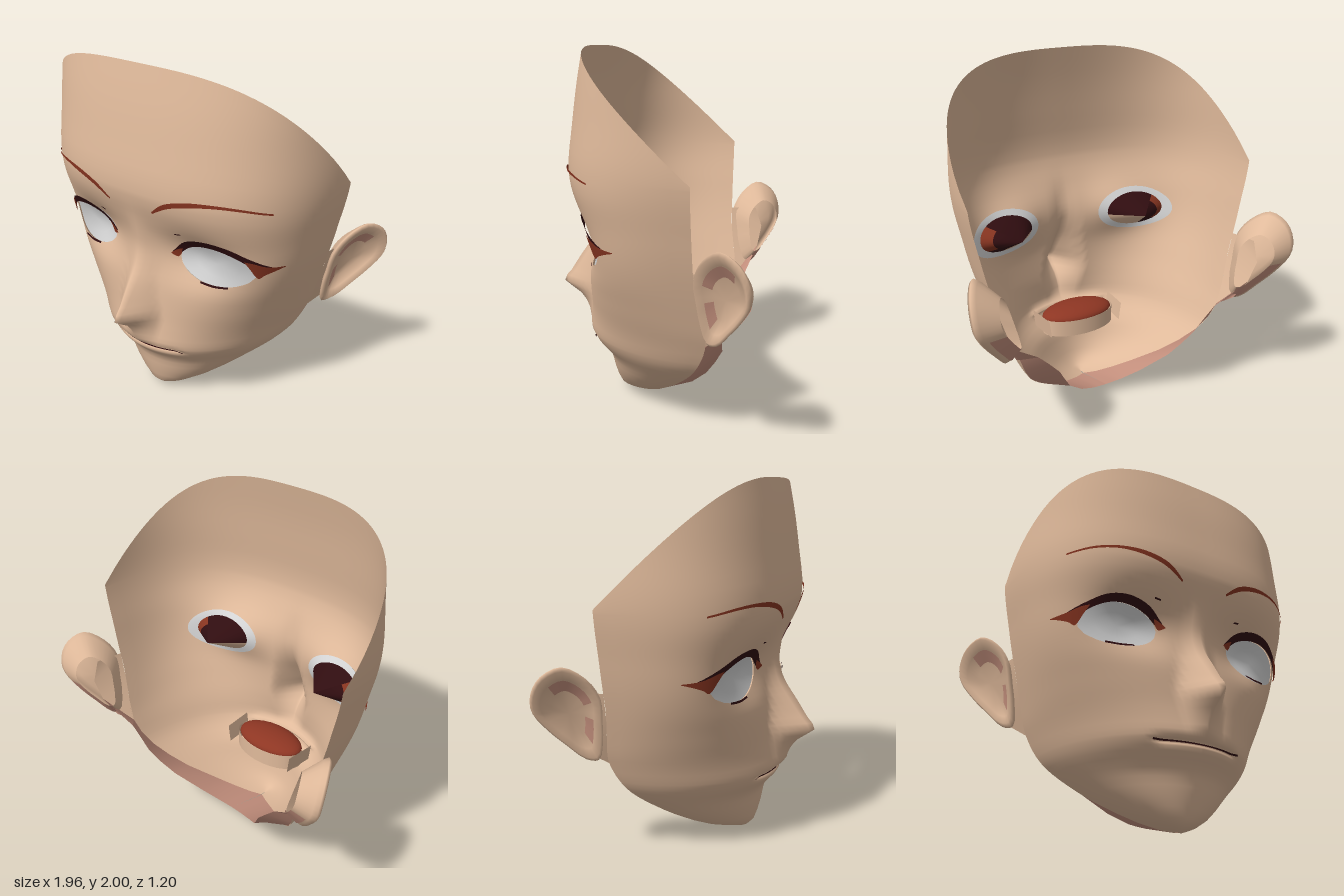
import * as THREE from 'three';
import { mergeVertices } from 'three/addons/utils/BufferGeometryUtils.js';

const mat = (name, color, side = THREE.DoubleSide) => {
  const m = new THREE.MeshStandardMaterial({ color, side });
  m.name = name;
  return m;
};
const V = (x, y, z) => new THREE.Vector3(x, y, z);

// Smooth interpolation through [key, value] pairs
function table(p) {
  const slope = i => {
    const a = p[Math.max(i - 1, 0)], b = p[Math.min(i + 1, p.length - 1)];
    return (b[1] - a[1]) / (b[0] - a[0]);
  };
  return k => {
    if (k <= p[0][0]) return p[0][1];
    if (k >= p[p.length - 1][0]) return p[p.length - 1][1];
    let i = 0;
    while (k > p[i + 1][0]) i++;
    const h = p[i + 1][0] - p[i][0], t = (k - p[i][0]) / h, s = t * t * (3 - 2 * t);
    return p[i][1] * (1 - s) + p[i + 1][1] * s
      + h * (t * (1 - t) * (1 - t) * slope(i) - t * t * (1 - t) * slope(i + 1));
  };
}

// Head measurements by height: half width, centre depth, rear edge depth, squareness, nose
const halfWidth = table([[0, 0.002], [0.015, 0.07], [0.05, 0.16], [0.1, 0.25], [0.2, 0.385], [0.36, 0.555],
  [0.54, 0.645], [0.7, 0.7], [0.93, 0.768], [1.1, 0.808], [1.38, 0.86], [1.7, 0.86], [2, 0.855]]);
const centreZ = table([[0, 0.165], [0.015, 0.215], [0.04, 0.245], [0.15, 0.28], [0.28, 0.31], [0.345, 0.37],
  [0.42, 0.41], [0.5, 0.4], [0.6, 0.385], [0.8, 0.37], [0.9, 0.362], [1, 0.365], [1.1, 0.38], [1.2, 0.41],
  [1.3, 0.442], [1.4, 0.455], [1.6, 0.43], [1.8, 0.4], [2, 0.36]]);
const rearZ = table([[0, 0.13], [0.015, 0.09], [0.05, 0.035], [0.1, -0.03], [0.2, -0.15], [0.36, -0.28], [0.54, -0.35],
  [0.7, -0.33], [0.9, -0.305], [2, -0.305]]);
const square = table([[0, 2], [0.4, 2], [0.7, 2.5], [0.95, 3], [1.2, 2.9], [1.4, 2.7], [2, 2.7]]);
const noseOut = table([[0.41, 0], [0.45, 0.03], [0.5, 0.055], [0.57, 0.12], [0.63, 0.215], [0.7, 0.177],
  [0.8, 0.12], [0.9, 0.063], [1, 0.028], [1.1, 0.018], [1.2, 0.005], [1.3, 0]]);
const noseWidth = table([[0.4, 0.1], [0.62, 0.135], [0.8, 0.11], [1, 0.09], [1.3, 0.09]]);
const gauss = v => Math.exp(-v * v);

function skinZ(x, y) {
  const ax = Math.abs(x), n = square(y), s = Math.min(ax / halfWidth(y), 1), c = centreZ(y);
  const t = 1 - Math.pow(1 - Math.pow(s, n), 1 / n);
  let z = c - t * (c - rearZ(y));
  z += noseOut(y) * Math.max(0, 1 - ax / noseWidth(y));
  z -= 0.075 * gauss((ax - 0.35) / 0.2) * gauss((y - 1.01) / 0.14);
  z -= 0.03 * gauss((y - 0.395) / 0.014) * (1 - THREE.MathUtils.smoothstep(ax, 0.2, 0.28));
  return z;
}

// Surface through rows of points; cells with every corner in skip are left open
function grid(rows, skip) {
  const w = rows[0].length, index = [];
  const tri = (...c) => { if (!skip || !c.every(i => skip.has(i))) index.push(...c); };
  for (let i = 0; i < rows.length - 1; i++) for (let j = 0; j < w - 1; j++) {
    const a = i * w + j, b = a + 1, c = a + w, d = c + 1;
    tri(a, b, c);
    tri(b, d, c);
  }
  let g = new THREE.BufferGeometry().setFromPoints(rows.flat());
  g.setIndex(index);
  g = mergeVertices(g, 1e-5);
  g.computeVertexNormals();
  return g;
}

const EYE = { x: 0.435, y: 0.995, rx: 0.205, ry: 0.118 };

function faceGeometry() {
  const ys = [0, 0.015, 0.05, 0.1, 0.16, 0.2, 0.24, 0.28, 0.32, 0.35, 0.37, 0.383, 0.395, 0.407, 0.42, 0.45, 0.48,
    0.52, 0.56, 0.595, 0.63, 0.665];
  for (let y = 0.7; y < 1.37; y += 0.033) ys.push(y);
  const low = ys[ys.length - 1], upper = 9, M = 36, rows = [], open = new Set();
  for (let r = 0; r < ys.length + upper; r++) {
    const row = [];
    for (let j = -M; j <= M; j++) {
      const a = Math.PI / 2 * Math.pow(Math.abs(j) / M, 1.35);
      // The upper rows fan out to the slanted top edge
      const top = 2 - 0.62 * Math.pow(1 - Math.pow(Math.max(Math.cos(a), 0), 2 / 2.7), 1.12);
      let y = r < ys.length ? ys[r] : low + (top - low) * (r - ys.length + 1) / upper;
      let x = j === 0 ? 0 : halfWidth(y) * Math.pow(Math.sin(a), 2 / square(y));
      // Slide points inside the eye opening onto its outline
      const dx = (x - EYE.x) / EYE.rx, dy = (y - EYE.y) / EYE.ry, d = Math.hypot(dx, dy);
      if (d < 1) {
        open.add(r * (2 * M + 1) + j + M);
        x = EYE.x + dx / d * EYE.rx;
        y = EYE.y + dy / d * EYE.ry;
      }
      row.push(V(Math.sign(j) * x, y, skinZ(x, y)));
    }
    rows.push(row);
  }
  return grid(rows, open);
}

// Thin painted strip lying on the face between two curves of [x, y] points
function ribbon(lower, upper, lift, n = 24) {
  const line = p => new THREE.SplineCurve(p.map(q => new THREE.Vector2(...q))).getPoints(n);
  const a = line(lower), b = line(upper);
  return grid([0, 0.5, 1].map(t => a.map((p, i) => {
    const q = p.clone().lerp(b[i], t);
    return V(q.x, q.y, skinZ(q.x, q.y) + lift);
  })));
}

// Ring of points around the eye, between two angles in degrees
const eyeRing = (k, lift, from = 0, to = 360, n = 40) => Array.from({ length: n + 1 }, (_, i) => {
  const a = THREE.MathUtils.degToRad(from + (to - from) * i / n);
  const x = EYE.x + k * EYE.rx * Math.cos(a), y = EYE.y + k * EYE.ry * Math.sin(a);
  return V(x, y, skinZ(x, y) + lift);
});

// Ear outline, scaled about its middle and moved outward by off
const earOutline = new THREE.CatmullRomCurve3([[-0.31, 0.93], [-0.36, 1.04], [-0.45, 1.105], [-0.54, 1.06],
  [-0.59, 0.97], [-0.595, 0.87], [-0.55, 0.77], [-0.49, 0.68], [-0.42, 0.59], [-0.37, 0.58], [-0.335, 0.69],
  [-0.32, 0.8]].reverse().map(([z, y]) => V(0, y, z)), true).getPoints(36);
const earLoop = (k, off) => earOutline.map(p => {
  const z = -0.45 + (p.z + 0.45) * k, y = 0.85 + (p.y - 0.85) * k;
  const x = 0.8 + (-0.33 - z) * 0.63 + (y - 0.9) * (y > 0.9 ? 0.2 : 0.33);
  return V(x + off * 0.85, y, z + off * 0.53);
});

export function createModel() {
  const skin = mat('skin', 0xe0ba9b), blush = mat('blush', 0xca9481), lash = mat('darkLash', 0x300d10);
  const brown = mat('redBrown', 0x863420), mouthRed = mat('mouthRed', 0x8e3623);
  const white = mat('eyeWhite', 0xd6d6d6, THREE.FrontSide);
  const model = new THREE.Group();
  model.name = 'faceMask';
  const add = (parent, name, geo, m) => {
    const mesh = new THREE.Mesh(geo, m);
    mesh.name = name;
    parent.add(mesh);
    return mesh;
  };

  add(model, 'face', faceGeometry(), skin);

  // Mouth line and the cavity behind it
  add(model, 'mouthLine', ribbon([[-0.26, 0.391], [0, 0.389], [0.26, 0.391]],
    [[-0.26, 0.4], [0, 0.397], [0.26, 0.4]], 0.012), lash);
  const roof = add(model, 'mouthRoof', new THREE.SphereGeometry(1, 28, 8, 0, Math.PI * 2, 0, Math.PI / 2), mouthRed);
  roof.scale.set(0.23, 0.06, 0.13);
  roof.position.set(0, 0.41, 0.21);
  const wall = add(model, 'mouthWall', new THREE.CylinderGeometry(1, 1, 0.1, 28, 1, true), skin);
  wall.scale.set(0.235, 1, 0.13);
  wall.position.set(0, 0.37, 0.2);

  // Everything paired is built on the left and mirrored
  for (const side of [1, -1]) {
    const half = new THREE.Group();
    half.name = side > 0 ? 'leftFeatures' : 'rightFeatures';
    half.scale.x = side;
    model.add(half);

    // Cheek wall beside the mouth cavity
    add(half, 'mouthSide', grid([[V(0.25, 0.34, 0.28), V(0.235, 0.34, 0.09)],
      [V(0.265, 0.45, 0.28), V(0.25, 0.45, 0.09)]]), skin);

    // Underside of the jaw, from the jaw line in to the open edge
    const jaw = [0, 0.015, 0.05, 0.1, 0.2, 0.28, 0.36, 0.45, 0.54].map(y => V(halfWidth(y), y, rearZ(y)));
    const rim = [[0, 0.075, -0.15], [0.05, 0.08, -0.155], [0.1, 0.09, -0.165], [0.2, 0.14, -0.21], [0.33, 0.26, -0.31],
      [0.39, 0.35, -0.365], [0.445, 0.44, -0.41], [0.51, 0.51, -0.415], [0.57, 0.57, -0.42]].map(p => V(...p));
    add(half, 'jawUnderside', grid([rim, jaw]), blush);

    // Ear with a rolled rim, hollow and a root joining it to the head
    add(half, 'ear', grid([earLoop(0.6, -0.11), earLoop(0.94, -0.025), earLoop(1, 0), earLoop(0.92, 0.015),
      earLoop(0.74, -0.012), earLoop(0.45, -0.045), earLoop(0, -0.035)]), skin);
    for (const [a, b] of [[0, 6], [24, 34]]) {
      add(half, 'earHollowBlush', grid([earLoop(0.72, -0.009), earLoop(0.48, -0.036)].map(l => l.slice(a, b))), blush);
    }
    add(half, 'earBackBlush', grid([earLoop(0.6, -0.115), earLoop(0.92, -0.037)].map(l => l.slice(7, 18))), blush);
    const edge = [0.54, 0.66, 0.8, 0.95].map(y => V(halfWidth(y), y, rearZ(y)));
    const back = [[0.7, 0.6, -0.43], [0.76, 0.71, -0.48], [0.8, 0.83, -0.5], [0.8, 0.95, -0.46]].map(p => V(...p));
    add(half, 'earRoot', grid([edge, back]), skin);
    add(half, 'earLobeBack', grid([[V(0.57, 0.57, -0.42), edge[0]], [V(0.76, 0.71, -0.48), back[0]]]), blush);

    // Eye: white front, rim seen from behind, and the pointed cup inside
    const tip = n => Array.from({ length: n + 1 }, () => V(0.41, 1, 0.08));
    add(half, 'eyeWhite', grid([eyeRing(1.03, -0.01), eyeRing(0.6, -0.008), eyeRing(0, -0.006)]), white);
    add(half, 'eyeRim', grid([eyeRing(0.84, -0.022), eyeRing(1.12, -0.022)]), white);
    for (const [name, from, to, m] of [['eyeCupDark', 45, 190, lash], ['eyeCupPale', 190, 280, skin],
      ['eyeCupLower', 280, 315, lash]]) {
      add(half, name, grid([tip(16), eyeRing(0.86, -0.025, from, to, 16)]), m);
    }
    const outer = eyeRing(0.86, -0.025, -45, 45, 16), middle = outer.map((p, i) => p.clone().lerp(tip(16)[i], 0.3));
    add(half, 'eyeCupOuter', grid([tip(16), middle]), lash);
    add(half, 'eyeCupCorner', grid([middle, outer]), brown);

    // Lashes, lid mark and eyebrow
    add(half, 'upperLash', ribbon([[0.225, 1.01], [0.3, 1.075], [0.4, 1.105], [0.5, 1.1], [0.59, 1.06], [0.65, 1.005]],
      [[0.195, 1.025], [0.28, 1.11], [0.4, 1.147], [0.52, 1.137], [0.62, 1.085], [0.7, 1.03]], 0.014), lash);
    add(half, 'lashWing', ribbon([[0.625, 1.02], [0.65, 0.965], [0.68, 0.985], [0.74, 1.018]],
      [[0.6, 1.07], [0.64, 1.06], [0.69, 1.035], [0.742, 1.022]], 0.022), brown);
    add(half, 'innerLash', ribbon([[0.19, 1.015], [0.225, 1.0], [0.245, 1.025]],
      [[0.192, 1.022], [0.225, 1.045], [0.255, 1.06]], 0.018), brown);
    add(half, 'lowerLash', ribbon([[0.36, 0.88], [0.435, 0.872], [0.51, 0.878]],
      [[0.36, 0.89], [0.435, 0.884], [0.51, 0.889]], 0.01), lash);
    add(half, 'lidMark', ribbon([[0.24, 1.15], [0.275, 1.155]], [[0.24, 1.157], [0.275, 1.164]], 0.008, 4), lash);
    add(half, 'eyebrow', ribbon([[0.145, 1.265], [0.25, 1.325], [0.37, 1.36], [0.5, 1.378], [0.62, 1.372], [0.73, 1.348]],
      [[0.142, 1.275], [0.23, 1.345], [0.36, 1.385], [0.5, 1.395], [0.62, 1.385], [0.728, 1.358]], 0.009), brown);
  }
  return model;
}
